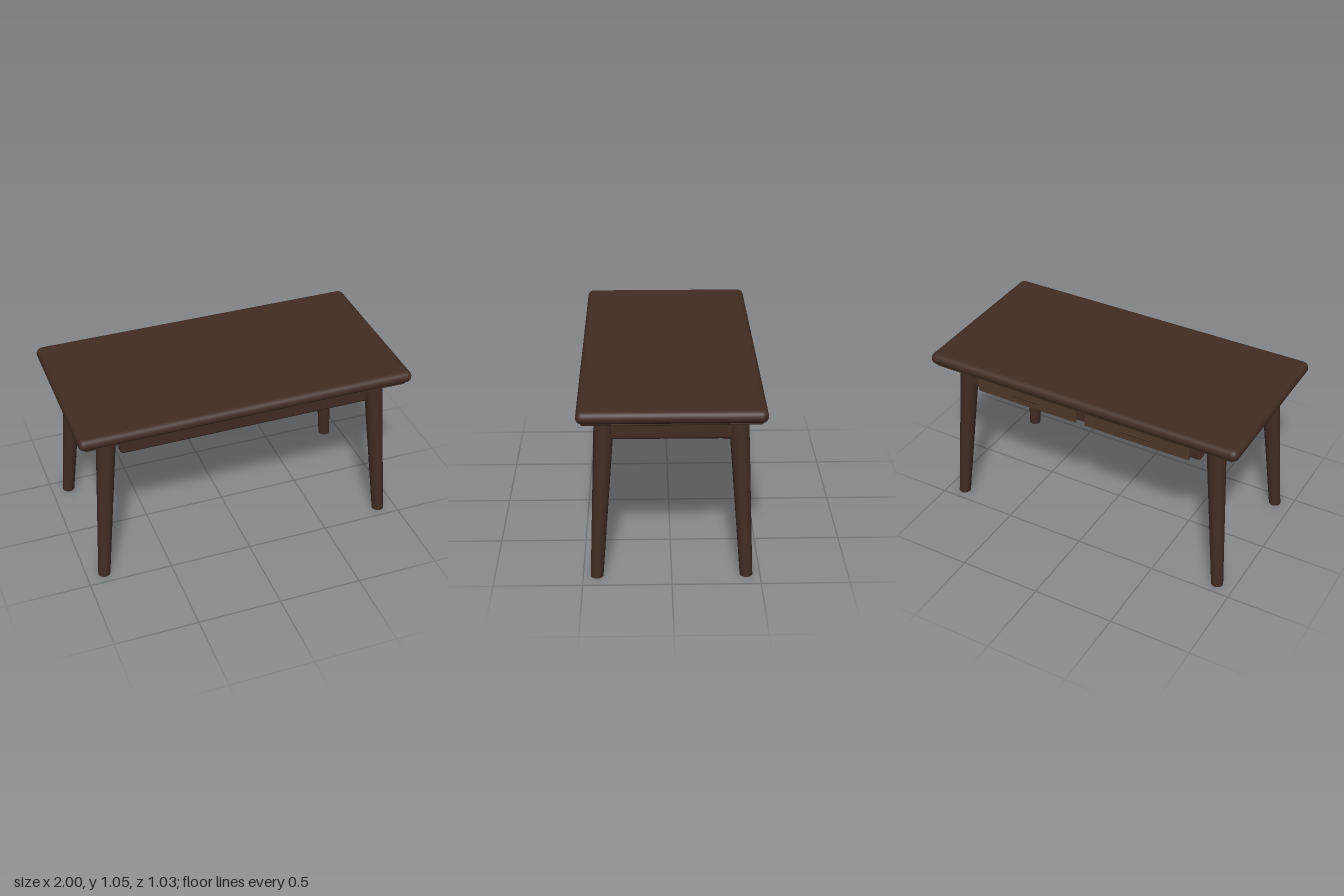
import * as THREE from 'three';
import { RoundedBoxGeometry } from 'three/addons/geometries/RoundedBoxGeometry.js';

export function createModel() {
  const table = new THREE.Group();
  table.name = 'table';
  const darkWood = new THREE.MeshStandardMaterial({ color: 0x422c22 });
  darkWood.name = 'dark wood';
  const lightWood = new THREE.MeshStandardMaterial({ color: 0x4d3828 });
  lightWood.name = 'light wood';

  // Rounded board given by its extents on each axis
  function board(name, [x0, x1], [y0, y1], [z0, z1], radius, material) {
    const geometry = new RoundedBoxGeometry(x1 - x0, y1 - y0, z1 - z0, 4, radius);
    const mesh = new THREE.Mesh(geometry, material);
    mesh.position.set((x0 + x1) / 2, (y0 + y1) / 2, (z0 + z1) / 2);
    mesh.name = name;
    table.add(mesh);
  }

  // Table top with bullnose edge, and the thinner panel beneath it
  board('tableTop', [-1, 1], [0.98, 1.053], [-0.513, 0.513], 0.036, darkWood);
  board('underPanel', [-0.968, 0.968], [0.965, 0.995], [-0.488, 0.488], 0.012, lightWood);

  // Front and back aprons
  board('frontApron', [-0.753, 0.753], [0.859, 0.966], [0.371, 0.437], 0.02, darkWood);
  board('backApron', [-0.753, 0.753], [0.859, 0.966], [-0.437, -0.371], 0.02, darkWood);

  const legHeight = 0.945;
  for (const sx of [1, -1]) {
    const side = sx > 0 ? 'left' : 'right';
    const cx = sx * 0.82;
    board(side + 'Apron', [cx - 0.034, cx + 0.034], [0.828, 0.962], [-0.376, 0.376], 0.02, darkWood);

    // Tapered legs, splayed by shear so both ends stay level
    for (const sz of [1, -1]) {
      const geometry = new THREE.CylinderGeometry(0.056, 0.036, legHeight, 20);
      geometry.translate(0, legHeight / 2, 0);
      const p = geometry.attributes.position;
      for (let i = 0; i < p.count; i++) {
        const t = p.getY(i) / legHeight;
        p.setX(i, p.getX(i) + sx * THREE.MathUtils.lerp(0.894, 0.816, t));
        p.setZ(i, p.getZ(i) + sz * THREE.MathUtils.lerp(0.422, 0.366, t));
      }
      geometry.computeVertexNormals();
      // Keep the side smooth across the seam
      const n = geometry.attributes.normal;
      for (const row of [0, 21]) {
        const a = new THREE.Vector3().fromBufferAttribute(n, row);
        a.add(new THREE.Vector3().fromBufferAttribute(n, row + 20)).normalize();
        n.setXYZ(row, a.x, a.y, a.z);
        n.setXYZ(row + 20, a.x, a.y, a.z);
      }
      const leg = new THREE.Mesh(geometry, darkWood);
      leg.name = side + (sz > 0 ? 'FrontLeg' : 'BackLeg');
      table.add(leg);
    }

    // Drawer front and its slim pull on the back
    const dx = sx * 0.362;
    board(side + 'DrawerFront', [dx - 0.334, dx + 0.334], [0.861, 0.952], [-0.46, -0.446], 0.004, lightWood);
    board(side + 'DrawerPull', [dx - 0.09, dx + 0.09], [0.902, 0.915], [-0.467, -0.456], 0.004, darkWood);
  }

  return table;
}
